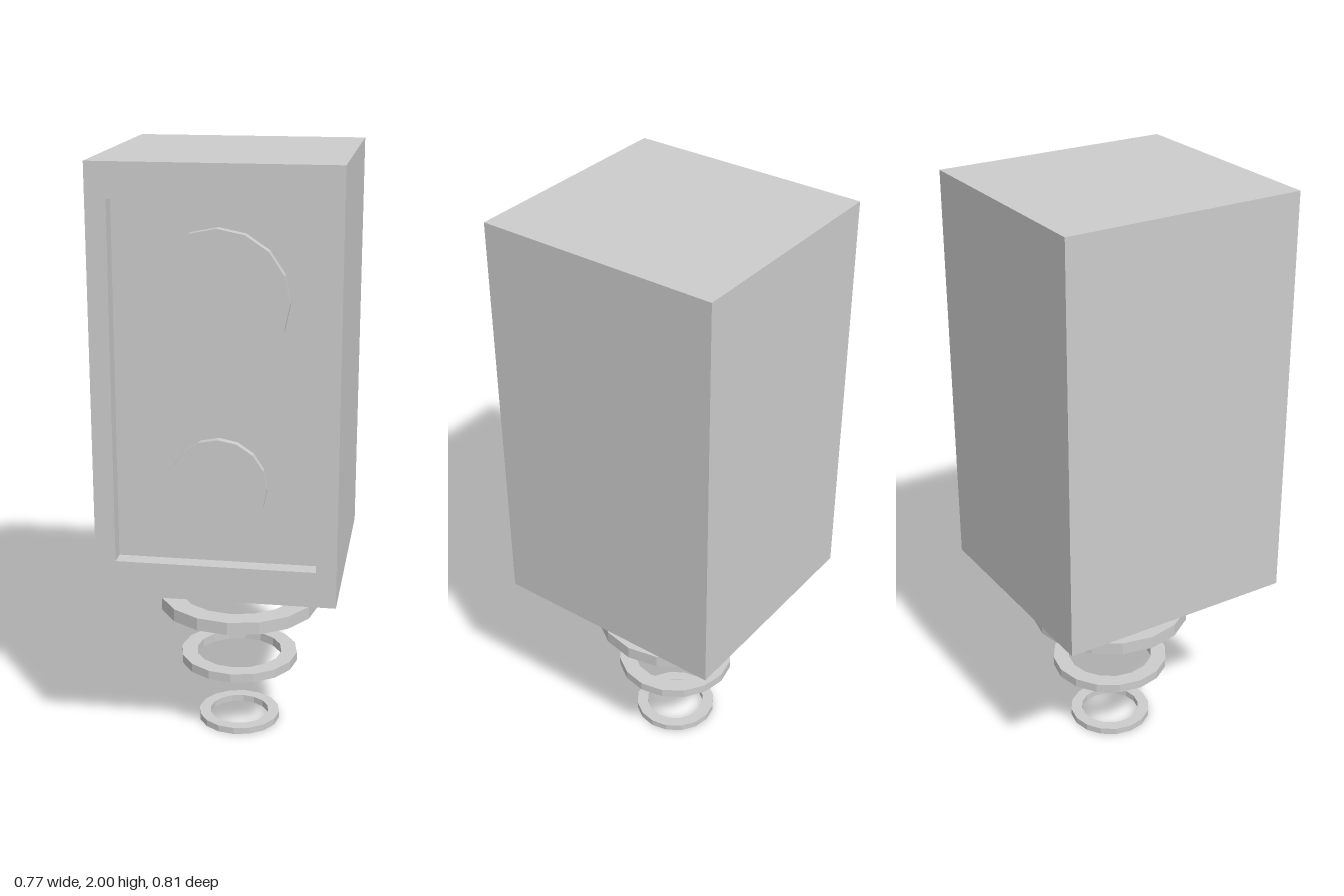
import * as THREE from 'three';

const material = new THREE.MeshStandardMaterial({ color: 0xcccccc, flatShading: true });

function part(name, geometry, parent, x = 0, y = 0, z = 0) {
  const mesh = new THREE.Mesh(geometry, material);
  mesh.name = name;
  mesh.position.set(x, y, z);
  parent.add(mesh);
  return mesh;
}

function rectangle(path, x0, y0, x1, y1) {
  path.moveTo(x0, y0);
  path.lineTo(x1, y0);
  path.lineTo(x1, y1);
  path.lineTo(x0, y1);
  path.closePath();
  return path;
}

export function createModel() {
  const model = new THREE.Group();
  model.name = 'floatingSpeaker';

  const halfW = 0.385, halfD = 0.405, bottom = 0.627, top = 2, recess = 0.055;
  const panelZ = halfD - recess;

  // Cabinet body, its front forming the recessed panel
  const cabinet = new THREE.Group();
  cabinet.name = 'cabinet';
  model.add(cabinet);
  part('cabinetBody', new THREE.BoxGeometry(halfW * 2, top - bottom, halfD + panelZ),
    cabinet, 0, (top + bottom) / 2, (panelZ - halfD) / 2);

  // Raised rim around the panel
  const rim = rectangle(new THREE.Shape(), -halfW, bottom, halfW, top);
  rim.holes.push(rectangle(new THREE.Path(), -0.32, 0.744, 0.32, 1.891));
  part('frontRim', new THREE.ExtrudeGeometry(rim, { depth: recess, bevelEnabled: false }),
    cabinet, 0, 0, panelZ);

  // Round speaker drivers standing out from the panel
  const drivers = [
    ['upperDriver', 1.587, 0.22, 0.033],
    ['lowerDriver', 1.0, 0.154, 0.026],
  ];
  for (const [name, y, radius, depth] of drivers) {
    const disc = new THREE.CylinderGeometry(radius, radius, depth, 16).rotateX(Math.PI / 2);
    part(name, disc, model, 0.006, y, panelZ + depth / 2);
  }

  // Separate hover rings, shrinking towards the ground
  const rings = [
    ['upperRing', 0.441, 0.485, 0.203, 0.275],
    ['middleRing', 0.23, 0.261, 0.149, 0.204],
    ['lowerRing', 0, 0.023, 0.104, 0.143],
  ];
  for (const [name, y0, y1, inner, outer] of rings) {
    const profile = [[inner, y0], [outer, y0], [outer, y1], [inner, y1], [inner, y0]]
      .map(([r, y]) => new THREE.Vector2(r, y));
    part(name, new THREE.LatheGeometry(profile, 16), model, 0.016, 0, -0.016);
  }

  return model;
}
